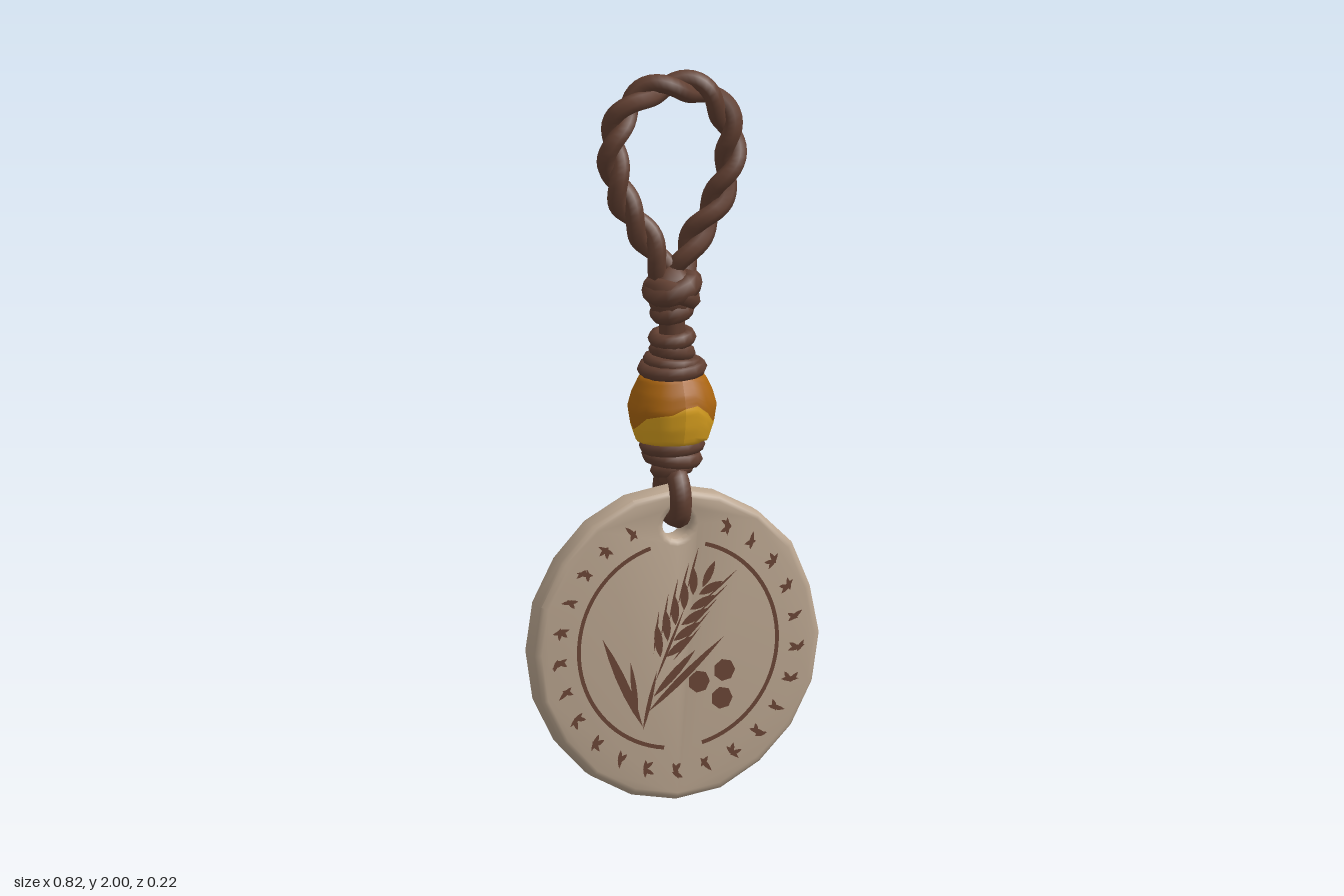
import * as THREE from 'three';
import { mergeGeometries, toCreasedNormals } from 'three/addons/utils/BufferGeometryUtils.js';

const mat = (name, color, side = THREE.FrontSide) => {
  const m = new THREE.MeshStandardMaterial({ color, side });
  m.name = name;
  return m;
};

export function createModel() {
  const clay = mat('clay', 0xbba690);
  const leather = mat('leather', 0x613f31);
  const groove = mat('groove', 0x6a4535, THREE.DoubleSide);
  const darkAmber = mat('dark amber', 0xab650f);
  const lightAmber = mat('light amber', 0xdca21f);
  const model = new THREE.Group();

  let seed = 7;
  const rand = () => (seed = (seed * 16807) % 2147483647) / 2147483647;
  const add = (name, geometry, material, parent = model) => {
    const mesh = new THREE.Mesh(geometry, material);
    mesh.name = name;
    parent.add(mesh);
    return mesh;
  };
  const group = (name) => {
    const g = new THREE.Group();
    g.name = name;
    model.add(g);
    return g;
  };

  // Clay disc with an uneven rim and a cord hole
  const CY = 0.428, FACE = 0.046;
  const rim = [];
  for (let i = 0; i < 20; i++) {
    const a = (i / 20) * Math.PI * 2;
    const k = i % 5 ? 0.985 + rand() * 0.02 : 1;
    rim.push(new THREE.Vector2(Math.cos(a) * 0.408 * k, CY + Math.sin(a) * 0.428 * k));
  }
  const outline = new THREE.Shape(rim);
  const hole = new THREE.Path();
  hole.absarc(0, 0.757, 0.038, 0, Math.PI * 2, true);
  outline.holes.push(hole);
  const disc = new THREE.ExtrudeGeometry(outline, {
    depth: 0.052, bevelThickness: 0.019, bevelSize: 0.02, bevelOffset: -0.02,
    bevelSegments: 3, curveSegments: 8,
  });
  disc.translate(0, 0, -0.026);
  add('disc', toCreasedNormals(disc, 0.6), clay);

  // Pointed oval starting at (x, y), used for grains, leaves and scratches
  const oval = (x, y, angle, length, width) => {
    const s = new THREE.Shape();
    s.moveTo(0, 0);
    s.quadraticCurveTo(length * 0.45, width, length, 0);
    s.quadraticCurveTo(length * 0.45, -width, 0, 0);
    return new THREE.ShapeGeometry(s, 5).rotateZ(angle).translate(x, y, 0);
  };
  const between = (x1, y1, x2, y2, width) =>
    oval(x1, y1, Math.atan2(y2 - y1, x2 - x1), Math.hypot(x2 - x1, y2 - y1), width);

  // Grain ear: stem, paired grains and fine awns
  const plant = [];
  const stem = new THREE.CatmullRomCurve3([[-0.1, 0.2], [-0.065, 0.34], [-0.005, 0.47], [0.07, 0.59]]
    .map(([x, y]) => new THREE.Vector3(x, y, 0)));
  plant.push(between(-0.1, 0.2, -0.06, 0.36, 0.012), between(-0.065, 0.33, 0.02, 0.53, 0.008));
  for (let i = 0; i < 5; i++) {
    const t = 0.48 + i * 0.11;
    const p = stem.getPointAt(t), d = stem.getTangentAt(t);
    const a = Math.atan2(d.y, d.x);
    for (const s of [-1, 1]) {
      plant.push(oval(p.x - s * 0.008, p.y, a + s * 0.55, 0.095 - i * 0.005, 0.024));
      plant.push(oval(p.x - s * d.y * 0.03, p.y + s * d.x * 0.03, a + s * 0.3, 0.12, 0.006));
    }
  }
  plant.push(oval(0.07, 0.58, 1.1, 0.08, 0.022));
  // Leaves
  plant.push(between(-0.1, 0.21, -0.215, 0.46, 0.026), between(-0.115, 0.24, -0.135, 0.39, 0.016));
  plant.push(between(-0.085, 0.25, 0.13, 0.44, 0.02), between(-0.07, 0.29, 0.05, 0.41, 0.022));
  // Berries
  for (const [x, y] of [[0.06, 0.322], [0.132, 0.348], [0.125, 0.272]])
    plant.push(new THREE.CircleGeometry(0.031, 7).translate(x, y, 0));

  // Broken inner ring
  const border = [[106, 262], [284, 434]].map(([from, to]) =>
    new THREE.RingGeometry(0.277, 0.288, 36, 1, THREE.MathUtils.degToRad(from),
      THREE.MathUtils.degToRad(to - from)).translate(0, CY, 0));

  // Abstract scratches around the rim
  const marks = [];
  for (let i = 0; i < 23; i++) {
    const a = THREE.MathUtils.degToRad(113 + i * 14.2);
    const parts = [oval(-0.022, -0.01, 0.2 + rand() * 0.3, 0.05, 0.013)];
    parts.push(oval(-0.02, 0.012, -0.9 + rand() * 0.6, 0.034, 0.012));
    if (i % 3) parts.push(oval(0.004, -0.012, 0.9 + rand() * 0.8, 0.036, 0.012));
    for (const p of parts)
      marks.push(p.rotateZ(a).translate(Math.cos(a) * 0.338, CY + Math.sin(a) * 0.345, 0));
  }
  for (const [side, z] of [['front', FACE], ['back', -FACE]]) {
    const g = group(side + 'Engraving');
    g.position.z = z;
    add('plant', mergeGeometries(plant), groove, g);
    add('border', mergeGeometries(border), groove, g);
    add('rimScratches', mergeGeometries(marks), groove, g);
  }

  // Two-tone bead: both halves share a wavy seam
  const profile = [[0.975, 0.06], [0.985, 0.098], [1.03, 0.113], [1.08, 0.121], [1.12, 0.11], [1.165, 0.088], [1.178, 0.05]];
  const beadRadius = (y) => {
    const i = Math.min(profile.length - 2, Math.max(0, profile.findIndex((p) => p[0] > y) - 1));
    if (y >= 1.178) return 0.05;
    const [y0, r0] = profile[i], [y1, r1] = profile[i + 1];
    return r0 + (r1 - r0) * (y - y0) / (y1 - y0);
  };
  const beadHalf = (upper) => {
    const rows = Array.from({ length: 13 }, (_, i) => new THREE.Vector2(1, i / 12));
    const geo = new THREE.LatheGeometry(rows, 20);
    const pos = geo.attributes.position;
    for (let i = 0; i < pos.count; i++) {
      const x = pos.getX(i), z = pos.getZ(i), a = Math.atan2(x, z);
      const seam = 1.06 + 0.03 * Math.cos(a * 2) + 0.01 * Math.sin(a * 5);
      const y = upper ? THREE.MathUtils.lerp(seam, 1.178, pos.getY(i))
        : THREE.MathUtils.lerp(0.975, seam, pos.getY(i));
      const r = beadRadius(y);
      pos.setXYZ(i, x * r, y, z * r * 0.91);
    }
    geo.computeVertexNormals();
    return geo;
  };
  const bead = group('bead');
  add('beadTop', beadHalf(true), darkAmber, bead);
  add('beadBottom', beadHalf(false), lightAmber, bead);

  // Hanging loop of two twisted strands
  const half = [[0.025, 1.45], [0.065, 1.53], [0.13, 1.635], [0.166, 1.74], [0.163, 1.84], [0.1, 1.93]];
  const loopPoints = [...half, [0, 1.957], ...half.slice().reverse().map(([x, y]) => [-x, y])];
  const loop = new THREE.CatmullRomCurve3(loopPoints.map(([x, y]) => new THREE.Vector3(x, y, 0)));
  const cord = group('hangingLoop');
  for (const phase of [0, Math.PI]) {
    const path = [];
    for (let i = 0; i <= 60; i++) {
      const p = loop.getPointAt(i / 60), d = loop.getTangentAt(i / 60);
      const a = (i / 60) * Math.PI * 11 + phase, o = Math.cos(a) * 0.019;
      path.push(new THREE.Vector3(p.x - d.y * o, p.y + d.x * o, Math.sin(a) * 0.018));
    }
    add('strand', new THREE.TubeGeometry(new THREE.CatmullRomCurve3(path), 90, 0.026, 7), leather, cord);
  }

  // Cord core and wrapped coils: [y, outer radius, thickness, tiltX, tiltZ]
  const wraps = group('cordWraps');
  add('core', new THREE.CylinderGeometry(0.037, 0.037, 0.54, 8).translate(0, 1.14, 0), leather, wraps);
  const coil = ([y, radius, tube, tx, tz], i) => {
    const m = add('coil', new THREE.TorusGeometry(radius - tube, tube, 7, 14).rotateX(Math.PI / 2), leather, wraps);
    m.position.y = y;
    m.rotation.set(tx, i, tz, 'XZY');
  };
  [
    [1.265, 0.066, 0.021, 0.1, 0.1], [1.228, 0.064, 0.022, -0.1, -0.15],
    [1.182, 0.095, 0.02, 0.04, 0.04], [1.2, 0.08, 0.018, 0.05, -0.08],
    [0.97, 0.09, 0.02, 0, 0.05], [0.938, 0.083, 0.021, 0.06, -0.08],
    [0.905, 0.06, 0.02, -0.1, 0.1],
  ].forEach(coil);

  // Upper knot
  const knot = group('upperKnot');
  const body = add('knotBody', new THREE.SphereGeometry(1, 10, 7), leather, knot);
  body.scale.set(0.067, 0.085, 0.06);
  body.position.y = 1.38;
  for (const [y, r, t, tx, tz] of [[1.405, 0.054, 0.031, 0.15, 0.3], [1.385, 0.051, 0.03, -0.2, -0.4], [1.34, 0.036, 0.027, 0.1, 0.25]]) {
    const m = add('knotTurn', new THREE.TorusGeometry(r, t, 7, 12).rotateX(Math.PI / 2), leather, knot);
    m.position.y = y;
    m.rotation.set(tx, 0, tz);
  }

  // Cord passing through the disc hole
  const ring = new THREE.CatmullRomCurve3([[0.83, 0.07], [0.785, 0.058], [0.78, 0], [0.785, -0.058],
    [0.83, -0.07], [0.885, -0.045], [0.895, 0], [0.885, 0.045]]
    .map(([y, z]) => new THREE.Vector3(0, y, z)), true);
  add('discTie', new THREE.TubeGeometry(ring, 32, 0.031, 8, true), leather);

  return model;
}
